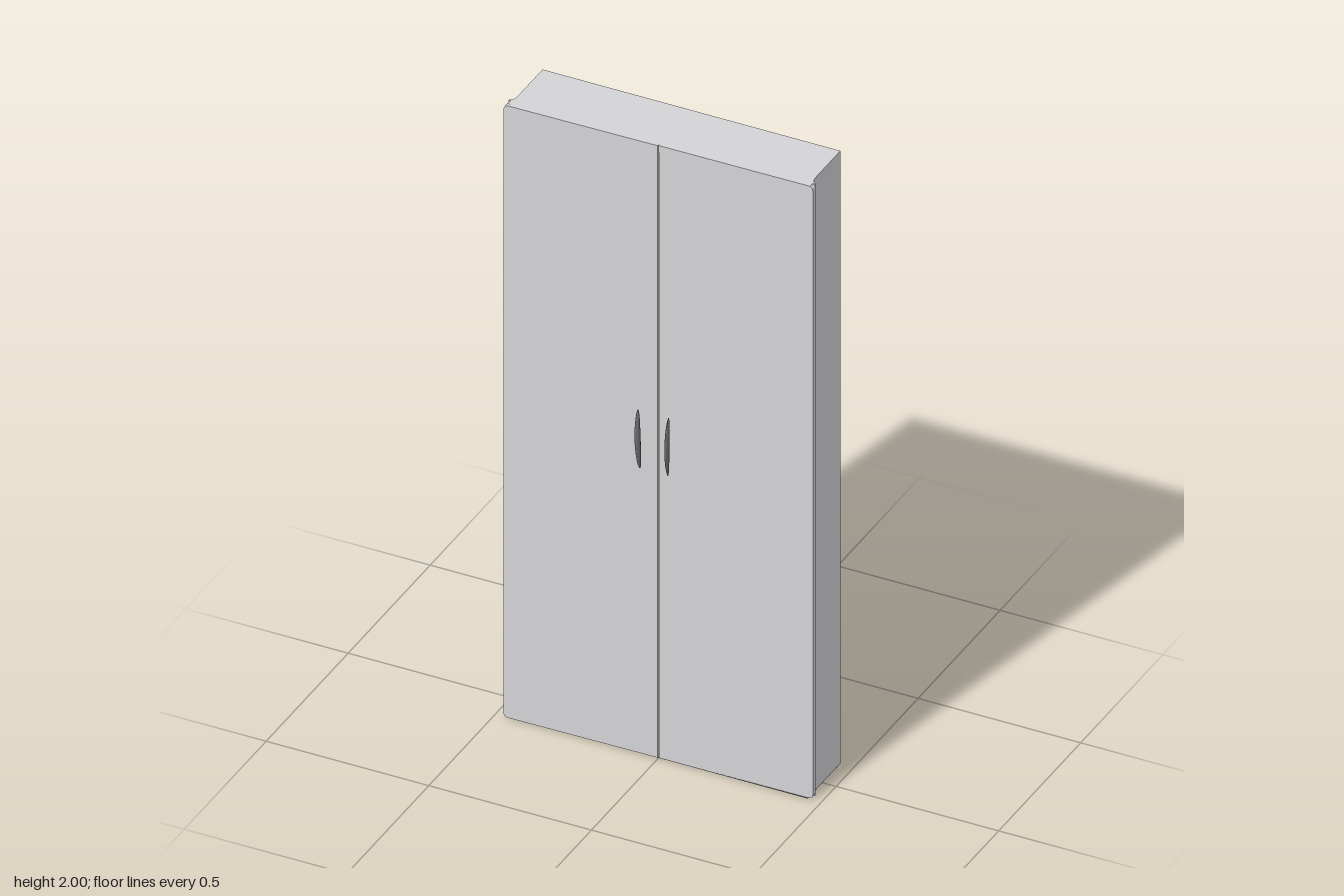
import * as THREE from 'three';

const colour = (name, color) => {
  const material = new THREE.MeshStandardMaterial({ color });
  material.name = name;
  return material;
};
const panelGrey = colour('panelGrey', 0xd4d4d7);
const shadowGrey = colour('shadowGrey', 0x7d7d7f);
const handleGrey = colour('handleGrey', 0x6a6b6d);

export function createModel() {
  const cabinet = new THREE.Group();
  cabinet.name = 'cabinet';

  const add = (name, geometry, material, x = 0, y = 0, z = 0) => {
    const mesh = new THREE.Mesh(geometry, material);
    mesh.name = name;
    mesh.position.set(x, y, z);
    cabinet.add(mesh);
    return mesh;
  };
  const floor = 0.002;

  // Dark underside
  add('underside', new THREE.BoxGeometry(0.916, floor, 0.2), shadowGrey, 0, floor / 2, -0.01);

  // Carcass: plan outline with a small flare towards the doors (shape y = -z)
  const half = [[0.458, 0.106], [0.458, -0.045], [0.462, -0.062], [0.471, -0.067], [0.471, -0.071], [0.463, -0.071]];
  const outline = [...half, ...half.map(([x, y]) => [-x, y]).reverse()];
  const plan = new THREE.Shape(outline.map(([x, y]) => new THREE.Vector2(x, y)));
  const carcass = new THREE.ExtrudeGeometry(plan, { depth: 2 - floor, bevelEnabled: false });
  carcass.rotateX(-Math.PI / 2);
  add('carcass', carcass, panelGrey, 0, floor, 0);

  // Dark recessed core behind the doors, closed by rails at top and bottom
  add('doorCore', new THREE.BoxGeometry(0.926, 1.95, 0.012), shadowGrey, 0, 1, 0.076);
  add('topRail', new THREE.BoxGeometry(0.93, 0.025, 0.019), panelGrey, 0, 1.9875, 0.0785);
  add('bottomRail', new THREE.BoxGeometry(0.93, 0.023, 0.014), panelGrey, 0, 0.0135, 0.076);

  // Front doors: outer corners rounded, each slightly askew, narrow seam between
  for (const side of [-1, 1]) {
    const r = 0.015, inner = 0.002, outer = 0.473;
    const s = new THREE.Shape();
    s.moveTo(side * inner, floor);
    s.lineTo(side * (outer - r), floor);
    s.quadraticCurveTo(side * outer, floor, side * outer, r);
    s.lineTo(side * outer, 2 - r);
    s.quadraticCurveTo(side * outer, 2, side * (outer - r), 2);
    s.lineTo(side * inner, 2);
    const depth = side < 0 ? 0.018 : 0.016;
    const geometry = new THREE.ExtrudeGeometry(s, { depth, bevelEnabled: false, curveSegments: 4 });
    const door = add(side < 0 ? 'rightDoor' : 'leftDoor', geometry, panelGrey, 0, 0, 0.075);
    door.rotation.y = side < 0 ? 0.0106 : 0.006;
  }

  // Back panel with a slot for the rear seam
  const back = new THREE.Shape();
  back.moveTo(-0.458, floor).lineTo(0.458, floor).lineTo(0.458, 2).lineTo(-0.458, 2);
  const slot = new THREE.Path();
  slot.moveTo(-0.002, 0.08).lineTo(-0.002, 1.95).lineTo(0.002, 1.95).lineTo(0.002, 0.08);
  back.holes.push(slot);
  add('backPanel', new THREE.ExtrudeGeometry(back, { depth: 0.005, bevelEnabled: false }), panelGrey, 0, 0, -0.11);

  // Slim tapered handles, bowed outwards, standing clear of the panels
  const handle = (name, x, y, z, length, rx, rz, bow, lean) => {
    const geometry = new THREE.SphereGeometry(1, 10, 16);
    const p = geometry.attributes.position;
    for (let i = 0; i < p.count; i++) {
      const t = p.getY(i);
      p.setXYZ(i, p.getX(i) * rx + lean * t, t * length / 2, p.getZ(i) * rz + bow * (1 - t * t));
    }
    geometry.computeVertexNormals();
    add(name, geometry, handleGrey, x, y, z);
  };
  handle('rightFrontHandle', -0.046, 1.045, 0.119, 0.19, 0.008, 0.010, 0.008, -0.003);
  handle('leftFrontHandle', 0.044, 1.045, 0.119, 0.19, 0.006, 0.010, 0.008, 0.001);
  handle('rightBackHandle', -0.050, 1.03, -0.124, 0.14, 0.004, 0.006, -0.007, 0.001);
  handle('leftBackHandle', 0.061, 1.03, -0.124, 0.14, 0.006, 0.006, -0.007, 0.003);

  return cabinet;
}
